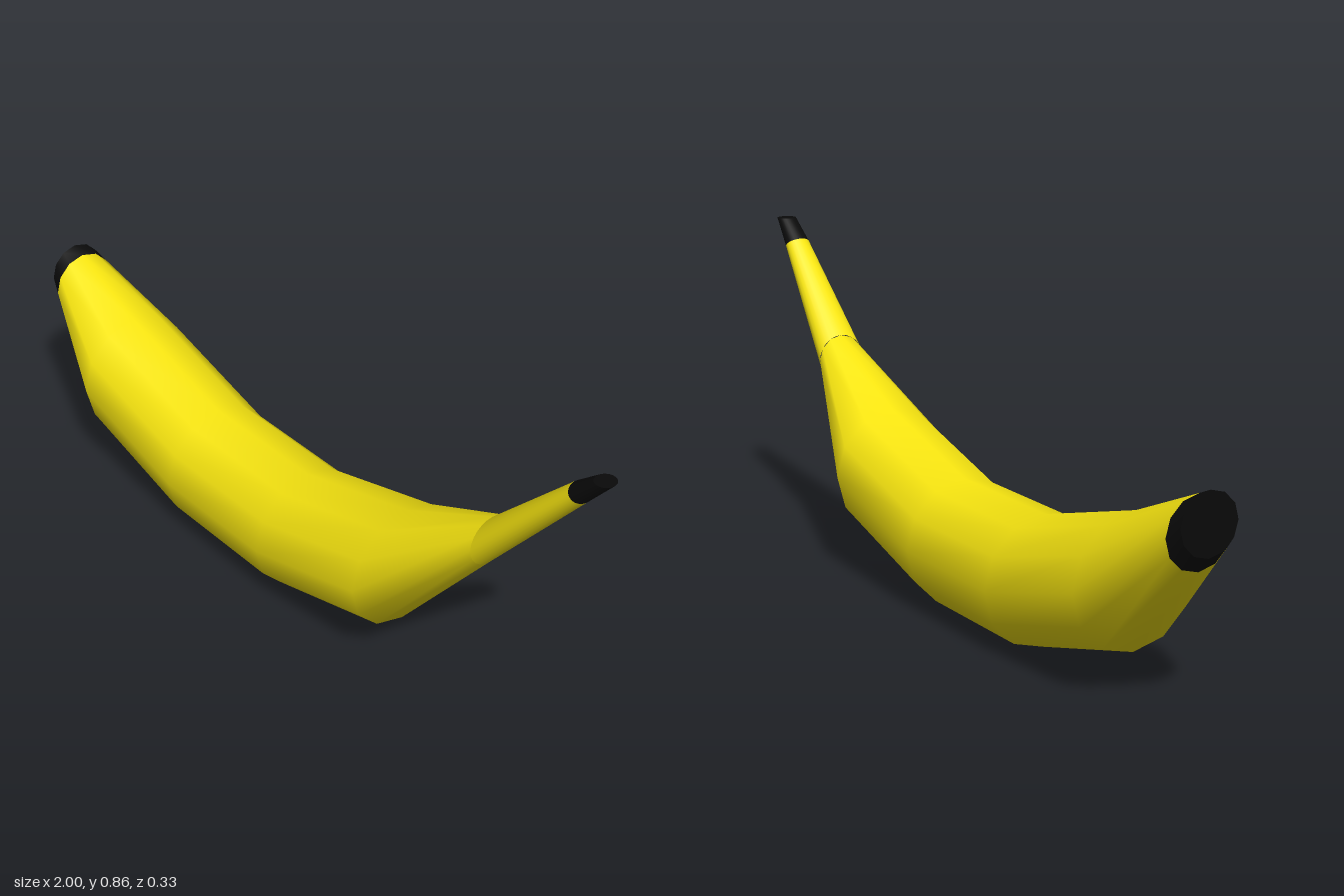
import * as THREE from 'three';

const yellow = new THREE.MeshStandardMaterial({ color: 0xf7e510 });
const black = new THREE.MeshStandardMaterial({ color: 0x0a0a0a });

// Rings run towards +x: [centre x, centre y, up-vector x, up-vector y, half width in z]
function loft(name, rings, sides, material, capStart, capEnd) {
  const pos = [], index = [];
  const addRing = ([x, y, ux, uy, w]) => {
    const first = pos.length / 3;
    for (let j = 0; j < sides; j++) {
      const a = (j / sides) * Math.PI * 2, c = Math.cos(a);
      pos.push(x + ux * c, y + uy * c, w * Math.sin(a));
    }
    return first;
  };
  const starts = rings.map(addRing);
  for (let i = 0; i < rings.length - 1; i++) {
    for (let j = 0; j < sides; j++) {
      const k = (j + 1) % sides;
      const a = starts[i] + j, b = starts[i] + k;
      const c = starts[i + 1] + j, d = starts[i + 1] + k;
      index.push(a, b, c, b, d, c);
    }
  }
  // Flat caps have their own vertices so the rim stays sharp
  const addCap = (ring, flip) => {
    const s = addRing(ring);
    for (let j = 1; j < sides - 1; j++) {
      if (flip) index.push(s, s + j + 1, s + j);
      else index.push(s, s + j, s + j + 1);
    }
  };
  if (capStart) addCap(rings[0], true);
  if (capEnd) addCap(rings[rings.length - 1], false);
  const geo = new THREE.BufferGeometry();
  geo.setAttribute('position', new THREE.Float32BufferAttribute(pos, 3));
  geo.setIndex(index);
  geo.computeVertexNormals();
  const mesh = new THREE.Mesh(geo, material);
  mesh.name = name;
  return mesh;
}

// Upright round ring
const round = (x, y, r) => [x, y, 0, r, r];

export function createModel() {
  const group = new THREE.Group();
  group.name = 'banana';

  const tipRing = round(-0.965, 0.438, 0.087);
  const neckRing = round(0.655, 0.513, 0.064);
  const stemRing = [0.91, 0.792, -0.02, 0.0165, 0.034];

  // Curved fruit body
  group.add(loft('peel', [
    tipRing,
    round(-0.735, 0.266, 0.164),
    round(-0.368, 0.165, 0.164),
    round(0, 0.165, 0.164),
    round(0.368, 0.266, 0.164),
    neckRing,
  ], 12, yellow, false, false));

  // Tapering stem
  group.add(loft('stem', [neckRing, stemRing], 24, yellow, false, false));

  // Dark ends
  group.add(loft('stemEnd', [stemRing, [0.975, 0.857, -0.025, 0, 0.026]], 24, black, false, true));
  group.add(loft('blossomEnd', [round(-1, 0.465, 0.075), tipRing], 12, black, true, false));

  return group;
}
